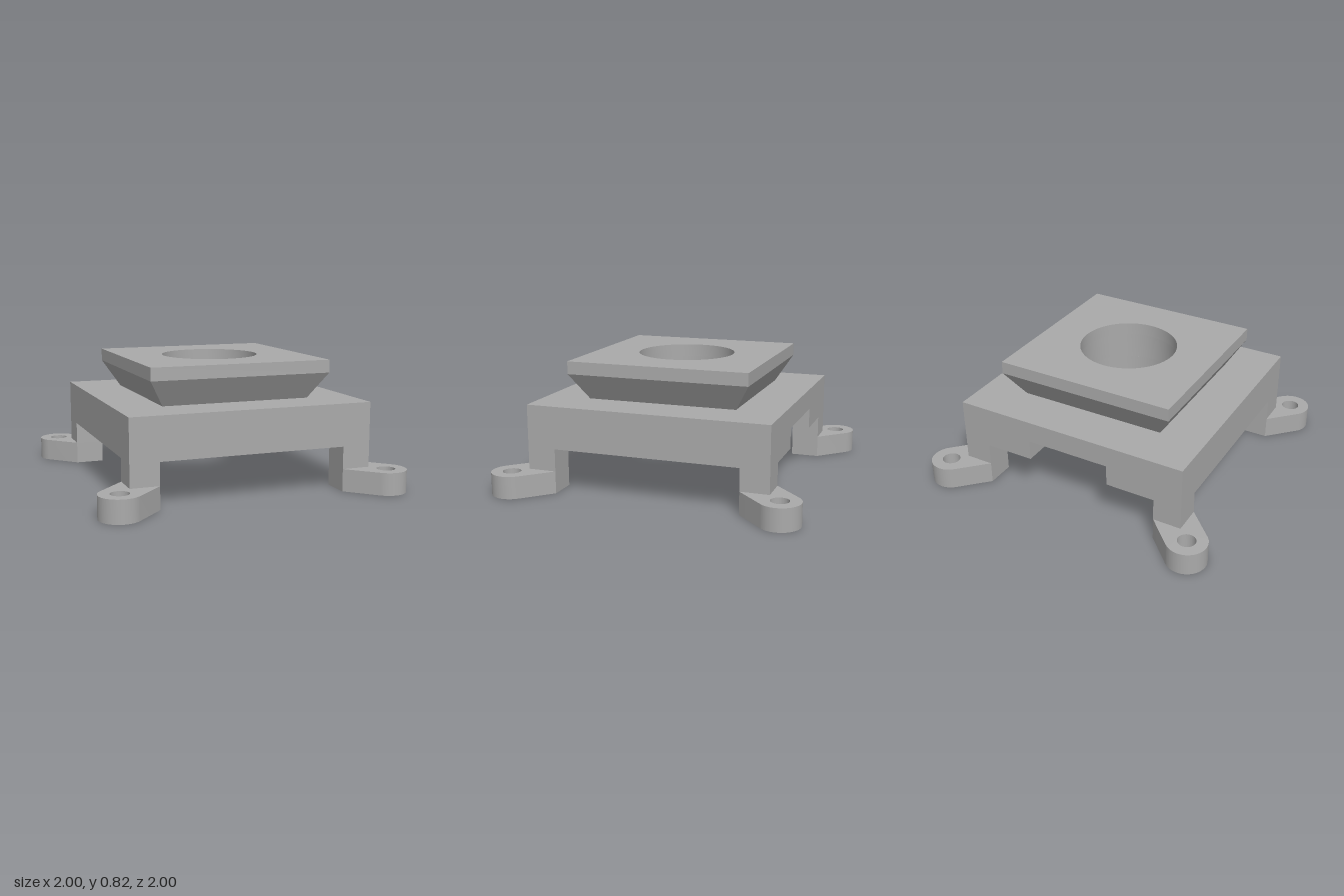
import * as THREE from 'three';
import { toCreasedNormals } from 'three/addons/utils/BufferGeometryUtils.js';

const BODY = 0.79;   // half width of the body
const INNER = 0.605; // half width of the recess and of the gap between legs
const BORE = 0.32;

const outline = (pts) => new THREE.Shape(pts.map(([x, y]) => new THREE.Vector2(x, y)));
const square = (h) => outline([[-h, -h], [h, -h], [h, h], [-h, h]]);

function addHole(shape, x, y, r) {
  shape.holes.push(new THREE.Path().absarc(x, y, r, 0, Math.PI * 2, true));
  return shape;
}

// Extrudes a plan outline (shape y points to the back) between two heights.
function slab(shape, y0, y1) {
  const geo = new THREE.ExtrudeGeometry(shape, { depth: y1 - y0, bevelEnabled: false, curveSegments: 32 });
  return geo.rotateX(-Math.PI / 2).translate(0, y0, 0);
}

export function createModel() {
  const group = new THREE.Group();
  const grey = new THREE.MeshStandardMaterial({ color: 0xaaaaaa });
  grey.name = 'grey';

  const add = (name, geo) => {
    const mesh = new THREE.Mesh(toCreasedNormals(geo, 0.5), grey);
    mesh.name = name;
    group.add(mesh);
    return mesh;
  };

  // Body deck with the central bore
  add('bodyDeck', slab(addHole(square(BODY), 0, 0, BORE), 0.425, 0.565));

  // Rim around the underside recess, open in the middle of the back
  const gap = 0.28;
  add('bodyRim', slab(outline([
    [gap, BODY], [BODY, BODY], [BODY, -BODY], [-BODY, -BODY], [-BODY, BODY], [-gap, BODY],
    [-gap, INNER], [-INNER, INNER], [-INNER, -INNER], [INNER, -INNER], [INNER, INNER], [gap, INNER],
  ]), 0.29, 0.425));

  // Flared neck: the outer wall narrows toward the body, the bore stays straight
  const neck = slab(addHole(square(0.597), 0, 0, BORE), 0.565, 0.737);
  const pos = neck.attributes.position;
  for (let i = 0; i < pos.count; i++) {
    const x = pos.getX(i), z = pos.getZ(i);
    if (pos.getY(i) < 0.6 && Math.hypot(x, z) > BORE + 0.1) {
      pos.setX(i, Math.sign(x) * 0.492);
      pos.setZ(i, Math.sign(z) * 0.492);
    }
  }
  add('flaredNeck', neck);
  add('topPlate', slab(addHole(square(0.597), 0, 0, BORE), 0.737, 0.82));

  // Corner legs and mounting feet
  const c = 0.87, r = 0.13, t = r * Math.SQRT1_2;
  for (let k = 0; k < 4; k++) {
    const legShape = outline([[INNER, INNER], [BODY, INNER], [BODY, BODY], [INNER, BODY]]);
    const leg = add('cornerLeg', slab(legShape, 0.145, 0.29));

    const footShape = outline([[INNER, INNER], [BODY, INNER], [c + t, c - t]]);
    footShape.absarc(c, c, r, -Math.PI / 4, Math.PI * 0.75, false);
    footShape.lineTo(INNER, BODY);
    footShape.closePath();
    const foot = add('mountingFoot', slab(addHole(footShape, c, c, 0.058), 0, 0.145));

    leg.rotation.y = foot.rotation.y = k * Math.PI / 2;
  }
  return group;
}
